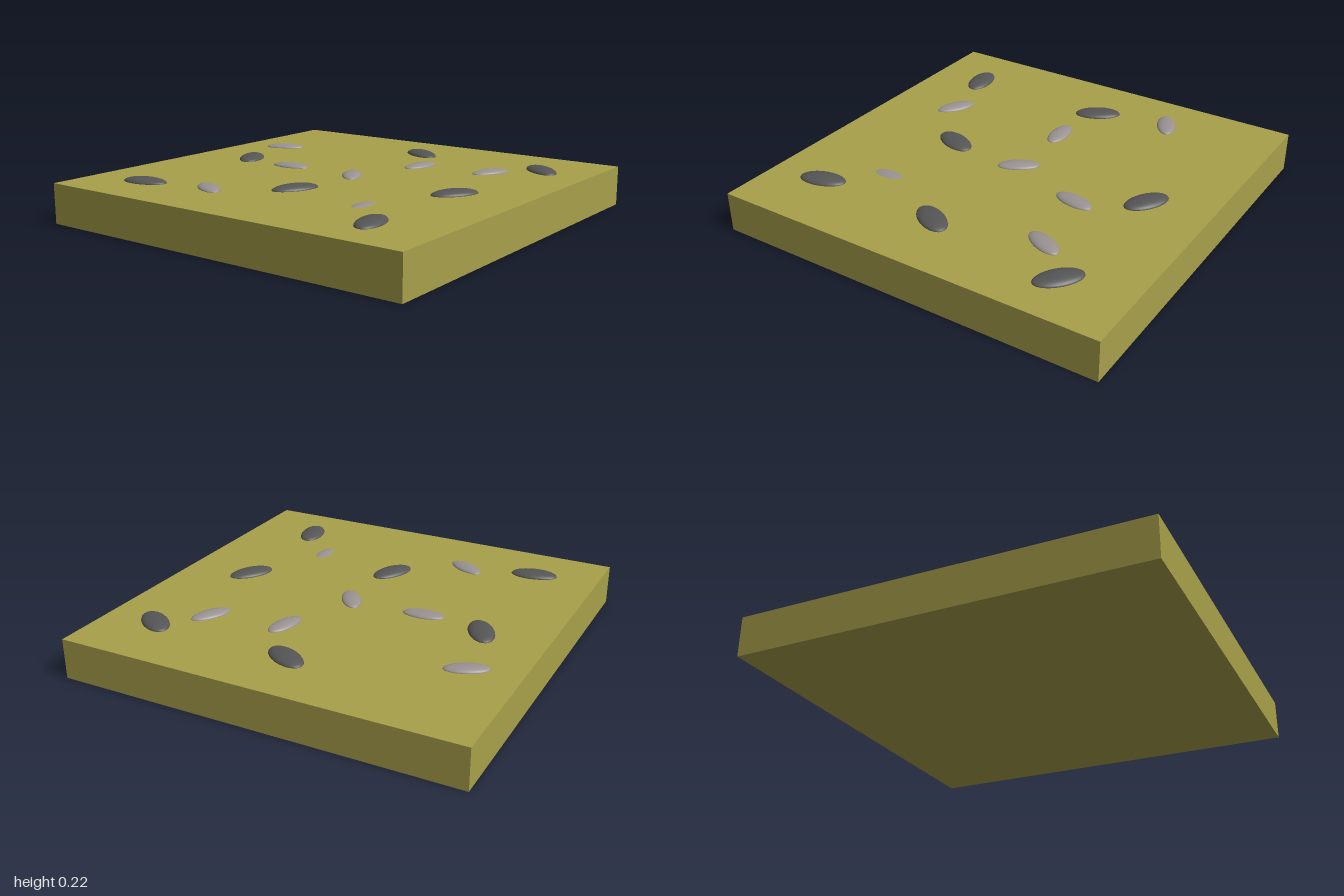
import * as THREE from 'three';

export function createModel() {
  const model = new THREE.Group();
  const ground = new THREE.MeshStandardMaterial({ color: 0xa8a04a });
  const dark = new THREE.MeshStandardMaterial({ color: 0x555555 });
  const light = new THREE.MeshStandardMaterial({ color: 0x9a9292 });

  // Square slab of ground
  const slab = new THREE.Mesh(new THREE.BoxGeometry(2, 0.2, 2), ground);
  slab.name = 'groundSlab';
  slab.position.y = 0.1;
  model.add(slab);

  // Flattened ellipsoid stones, half buried in the slab
  const sphere = new THREE.SphereGeometry(1, 32, 24);
  function addStones(name, material, [a, h, b], list) {
    const group = new THREE.Group();
    group.name = name;
    list.forEach(([x, z, degrees, sink = 0], i) => {
      const stone = new THREE.Mesh(sphere, material);
      stone.name = `${name}${i + 1}`;
      stone.scale.set(a, h, b);
      stone.position.set(x, 0.2 - sink, z);
      stone.rotation.y = THREE.MathUtils.degToRad(degrees);
      group.add(stone);
    });
    model.add(group);
  }

  // x, z, heading in degrees, optional sink depth
  addStones('darkStone', dark, [0.118, 0.024, 0.062], [
    [0, -0.685, -30],
    [0.735, -0.655, -38],
    [-0.675, -0.05, -60],
    [0.655, 0.06, 58],
    [0, 0.405, 66],
    [-0.675, 0.715, 10],
    [0.655, 0.715, -76],
  ]);
  addStones('lightStone', light, [0.104, 0.019, 0.048], [
    [-0.75, -0.42, 26],
    [0.175, -0.4, 78],
    [0.548, -0.467, 63],
    [-0.36, 0, 4],
    [0.03, 0, -57],
    [-0.325, 0.64, -30],
    [0.445, 0.48, -89, 0.013],
  ]);

  return model;
}
